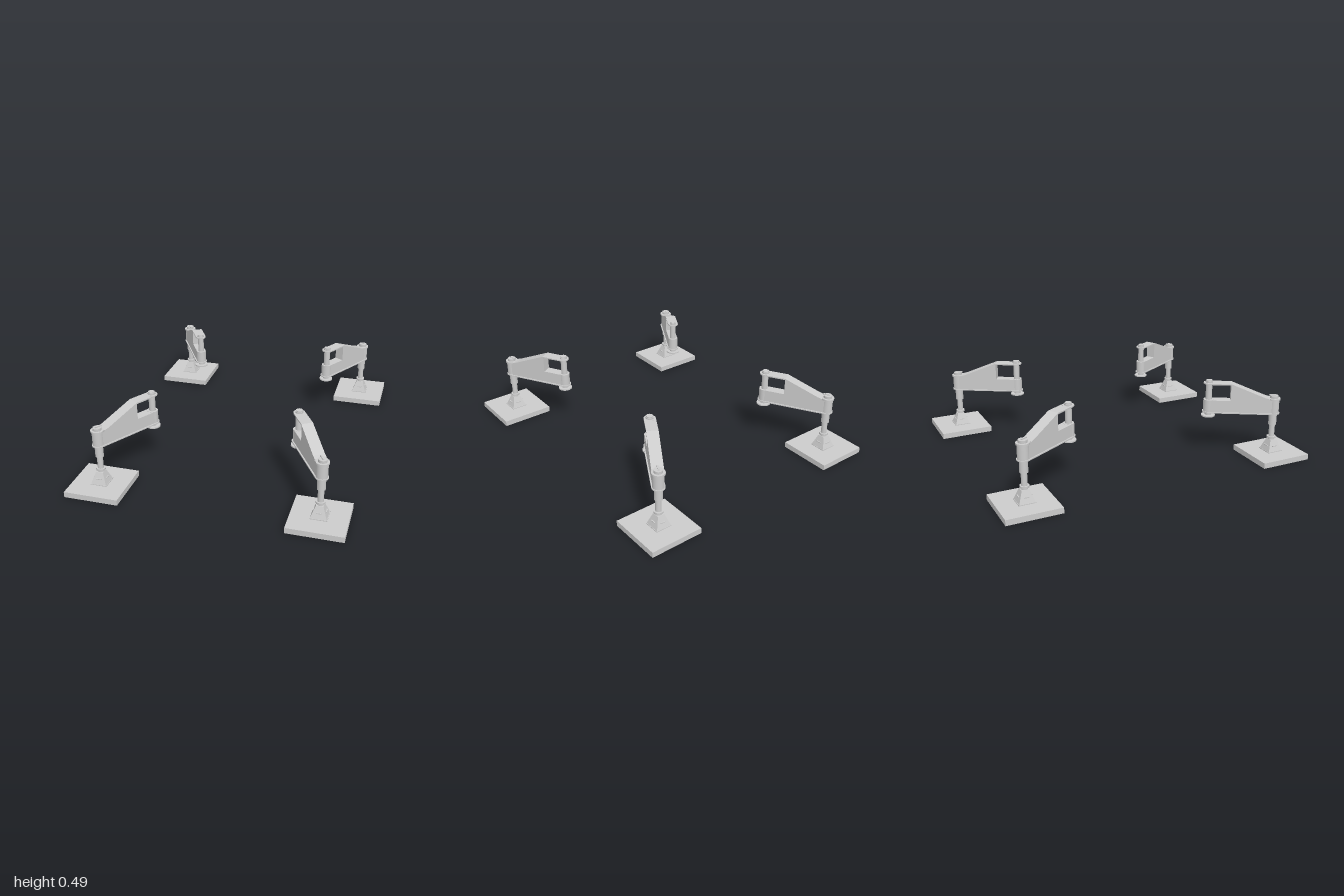
import * as THREE from 'three';

const material = new THREE.MeshStandardMaterial({ color: 0xcccccc });
const JACK = { x: 0.662, z: 0.83 };   // jack axis in one quadrant
const HINGE = { x: 0.458, z: 0.478 }; // hinge pin axis in the same quadrant
const REACH = Math.hypot(JACK.x - HINGE.x, JACK.z - HINGE.z);

function add(parent, name, geometry, x = 0, y = 0, z = 0) {
  const mesh = new THREE.Mesh(geometry, material);
  mesh.name = name;
  mesh.position.set(x, y, z);
  parent.add(mesh);
  return mesh;
}

// Upright cylinder spanning y0..y1
function post(parent, name, radius, y0, y1, x = 0, sides = 28) {
  return add(parent, name, new THREE.CylinderGeometry(radius, radius, y1 - y0, sides), x, (y0 + y1) / 2);
}

// Side profile in (reach, height), extruded across the arm
function slab(parent, name, points, width) {
  const shape = new THREE.Shape(points.map(([u, y]) => new THREE.Vector2(u, y)));
  const geometry = new THREE.ExtrudeGeometry(shape, { depth: width, bevelEnabled: false });
  return add(parent, name, geometry, 0, 0, -width / 2);
}

// Flat plate with round ends over jack and hinge
function roundEndPlate(parent, name, r, y, thickness) {
  const shape = new THREE.Shape();
  shape.absarc(0, 0, r, Math.PI / 2, Math.PI * 1.5, false);
  shape.absarc(REACH, 0, r, -Math.PI / 2, Math.PI / 2, false);
  const geometry = new THREE.ExtrudeGeometry(shape, { depth: thickness, bevelEnabled: false, curveSegments: 20 });
  geometry.rotateX(-Math.PI / 2);
  return add(parent, name, geometry, 0, y, 0);
}

function createFoot() {
  const foot = new THREE.Group();
  foot.name = 'foot';
  add(foot, 'groundPad', new THREE.BoxGeometry(0.335, 0.035, 0.335), 0, 0.0175, 0);
  add(foot, 'pedestalPlate', new THREE.BoxGeometry(0.102, 0.005, 0.102), 0, 0.037, 0);
  // Square tapering pedestal
  const taper = new THREE.CylinderGeometry(0.022 * Math.SQRT2, 0.048 * Math.SQRT2, 0.071, 4).toNonIndexed();
  taper.rotateY(Math.PI / 4);
  taper.computeVertexNormals();
  add(foot, 'pedestal', taper, 0, 0.0745, 0);
  // Small grip on each sloping face
  for (let i = 0; i < 4; i++) {
    const side = new THREE.Group();
    side.name = 'pedestalGrip';
    side.rotation.y = i * Math.PI / 2;
    add(side, 'gripBar', new THREE.BoxGeometry(0.032, 0.005, 0.012), 0, 0.073, 0.036);
    foot.add(side);
  }
  return foot;
}

function createJack() {
  const jack = new THREE.Group();
  jack.name = 'jack';
  post(jack, 'ballNeck', 0.02, 0.108, 0.121);
  post(jack, 'collar', 0.028, 0.12, 0.132);
  post(jack, 'innerRod', 0.018, 0.13, 0.215);
  post(jack, 'outerSleeve', 0.025, 0.21, 0.29);
  post(jack, 'jackHousing', 0.034, 0.285, 0.378);
  post(jack, 'topFlange', 0.04, 0.376, 0.387);
  post(jack, 'topCap', 0.026, 0.386, 0.403);
  add(jack, 'capBar', new THREE.BoxGeometry(0.042, 0.008, 0.01), 0.01, 0.405, 0);
  return jack;
}

function createArm() {
  const arm = new THREE.Group();
  arm.name = 'arm';
  // Web with the stepped end that leaves a gap beside the hinge pin
  slab(arm, 'armBody', [
    [0, 0.289], [REACH, 0.289], [REACH, 0.367], [0.271, 0.367],
    [0.271, 0.471], [0.061, 0.387], [0, 0.375],
  ], 0.062);
  // Sloping cover strip that runs flat out to the pin
  slab(arm, 'topStrip', [
    [0.03, 0.377], [0.061, 0.385], [0.271, 0.47], [REACH, 0.47],
    [REACH, 0.478], [0.269, 0.478], [0.059, 0.394], [0.03, 0.386],
  ], 0.07);
  roundEndPlate(arm, 'bottomPlate', 0.039, 0.284, 0.007);
  // Hinge stack
  post(arm, 'hingeLug', 0.033, 0.287, 0.368, REACH);
  post(arm, 'hingePin', 0.02, 0.258, 0.494, REACH);
  post(arm, 'upperHingePlate', 0.035, 0.4705, 0.4785, REACH);
  post(arm, 'lowerHingeFlange', 0.044, 0.257, 0.265, REACH);
  post(arm, 'pinHead', 0.023, 0.478, 0.488, REACH);
  return arm;
}

export function createModel() {
  const model = new THREE.Group();
  model.name = 'outriggerSet';
  // One outrigger per corner, each arm reaching inwards
  for (const sx of [-1, 1]) {
    for (const sz of [-1, 1]) {
      const outrigger = new THREE.Group();
      outrigger.name = (sz > 0 ? 'front' : 'back') + (sx > 0 ? 'Left' : 'Right') + 'Outrigger';
      outrigger.position.set(sx * JACK.x, 0, sz * JACK.z);
      const foot = createFoot();
      foot.position.set(0, 0, sz * 0.0025);
      const swing = new THREE.Group();
      swing.name = 'swingArm';
      swing.rotation.y = Math.atan2(sz * (JACK.z - HINGE.z), sx * (HINGE.x - JACK.x));
      swing.add(createJack(), createArm());
      outrigger.add(foot, swing);
      model.add(outrigger);
    }
  }
  return model;
}
